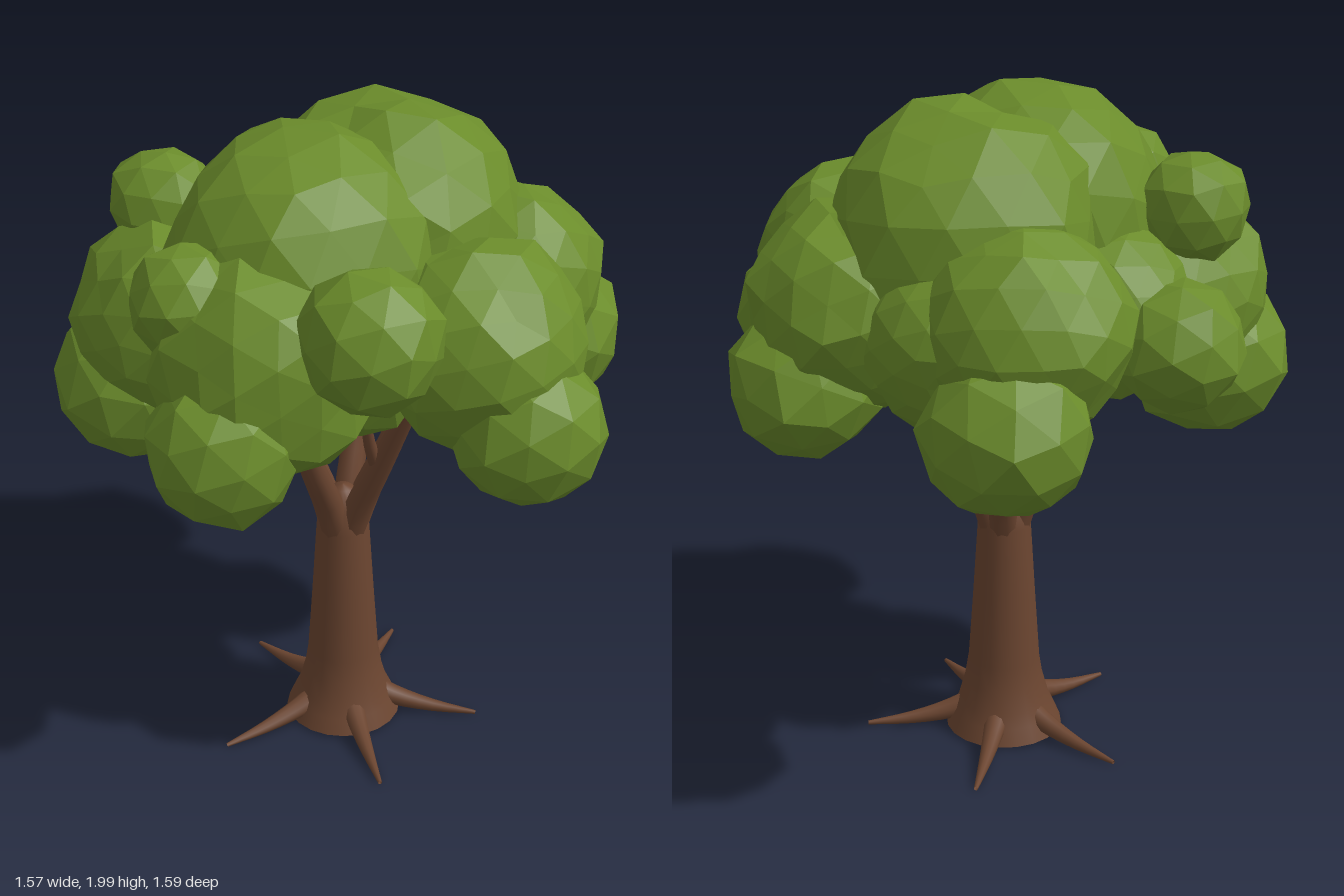
import * as THREE from 'three';

const leafGreen = new THREE.MeshStandardMaterial({ color: 0x6b8c2b });
const barkBrown = new THREE.MeshStandardMaterial({ color: 0x6b4530, side: THREE.DoubleSide });
const CX = -0.055; // trunk axis

// Faceted leaf clump: icosphere with a repeatable per-corner wobble
function clump(x, y, z, r, seed) {
  const g = new THREE.IcosahedronGeometry(1, r > 0.24 ? 2 : 1);
  g.rotateY(seed * 1.3).rotateX(seed * 0.7);
  const p = g.attributes.position, v = new THREE.Vector3();
  for (let i = 0; i < p.count; i++) {
    v.fromBufferAttribute(p, i);
    const n = Math.sin(v.x * 9.1 + seed) * Math.sin(v.y * 10.3 + seed * 2) * Math.sin(v.z * 8.7 + seed * 3);
    v.multiplyScalar(r * (1.01 + 0.08 * n));
    p.setXYZ(i, v.x, v.y, v.z);
  }
  g.computeVertexNormals();
  const m = new THREE.Mesh(g, leafGreen);
  m.position.set(x, y, z);
  m.name = 'leafClump';
  return m;
}

// Tube that narrows from r0 to r1 along a smooth path
function taper(points, r0, r1, name) {
  const curve = new THREE.CatmullRomCurve3(points.map(q => new THREE.Vector3(...q)));
  const seg = 8, sides = 10;
  const g = new THREE.TubeGeometry(curve, seg, 1, sides);
  const p = g.attributes.position, v = new THREE.Vector3();
  for (let i = 0; i < p.count; i++) {
    const t = Math.floor(i / (sides + 1)) / seg;
    const c = curve.getPointAt(t);
    v.fromBufferAttribute(p, i).sub(c).multiplyScalar(r0 + (r1 - r0) * t).add(c);
    p.setXYZ(i, v.x, v.y, v.z);
  }
  const m = new THREE.Mesh(g, barkBrown);
  m.name = name;
  return m;
}

export function createModel() {
  const tree = new THREE.Group();
  tree.name = 'tree';

  // Trunk with flared foot, open underneath
  const profile = [[0.175, 0.012], [0.155, 0.06], [0.137, 0.1], [0.118, 0.17], [0.107, 0.24], [0.093, 0.45],
    [0.079, 0.68], [0.07, 0.77], [0.03, 0.81], [0, 0.82]].map(q => new THREE.Vector2(...q));
  const trunk = new THREE.Mesh(new THREE.LatheGeometry(profile, 20), barkBrown);
  trunk.position.x = CX;
  trunk.name = 'trunk';
  tree.add(trunk);

  // Roots
  const roots = new THREE.Group();
  roots.name = 'roots';
  for (const deg of [22, 96, 177, 240, 315]) {
    const c = Math.cos(deg * Math.PI / 180), s = Math.sin(deg * Math.PI / 180);
    const path = [[0.07, 0.09], [0.17, 0.052], [0.28, 0.027], [0.415, 0.012]];
    roots.add(taper(path.map(([d, y]) => [CX + c * d, y, s * d]), 0.04, 0.006, 'root'));
  }
  tree.add(roots);

  // Branches, each with a thin side twig
  const branches = new THREE.Group();
  branches.name = 'branches';
  const tips = [[0.2, 1.18, -0.04], [0.03, 1.22, 0.25], [-0.28, 1.22, 0.1], [-0.22, 1.2, -0.22], [0.04, 1.22, -0.24]];
  for (const [x, y, z] of tips) {
    const dx = x - CX;
    const mid = [CX + dx * 0.55, 0.93, z * 0.55];
    branches.add(taper([[CX + dx * 0.1, 0.66, z * 0.1], [CX + dx * 0.27, 0.78, z * 0.27], mid, [x, y, z]], 0.047, 0.029, 'branch'));
    branches.add(taper([mid, [CX + dx * 0.6 - z * 0.2, 1.05, z * 0.6 + dx * 0.2],
      [CX + dx * 0.7 - z * 0.4, 1.24, z * 0.7 + dx * 0.4]], 0.022, 0.012, 'twig'));
  }
  tree.add(branches);

  // Canopy clumps: x, y, z, radius
  const canopy = new THREE.Group();
  canopy.name = 'canopy';
  [
    // crown
    [-0.065, 1.61, -0.18, 0.385], [-0.045, 1.6, 0.14, 0.39],
    // left side
    [0.43, 1.61, 0.28, 0.2], [0.37, 1.43, -0.15, 0.3], [0.56, 1.24, -0.17, 0.22],
    // back
    [0.17, 1.25, -0.58, 0.22], [0.12, 1.44, -0.44, 0.29],
    [-0.47, 1.23, -0.46, 0.235], [-0.38, 1.45, -0.3, 0.3], [-0.2, 1.41, -0.39, 0.245],
    // right side
    [-0.6, 1.35, 0.1, 0.188], [-0.48, 1.67, 0.31, 0.16], [-0.36, 1.4, 0.1, 0.25],
    // front
    [-0.43, 1.18, 0.47, 0.238], [-0.35, 1.39, 0.38, 0.285], [0.17, 1.27, 0.575, 0.22],
    [-0.03, 1.61, 0.54, 0.165], [0.1, 1.44, 0.37, 0.325],
    // core filling the underside
    [-0.08, 1.34, 0.27, 0.255], [0.08, 1.38, 0.1, 0.26], [-0.05, 1.41, -0.14, 0.25],
  ].forEach((c, i) => canopy.add(clump(...c, i + 1)));
  tree.add(canopy);

  return tree;
}
